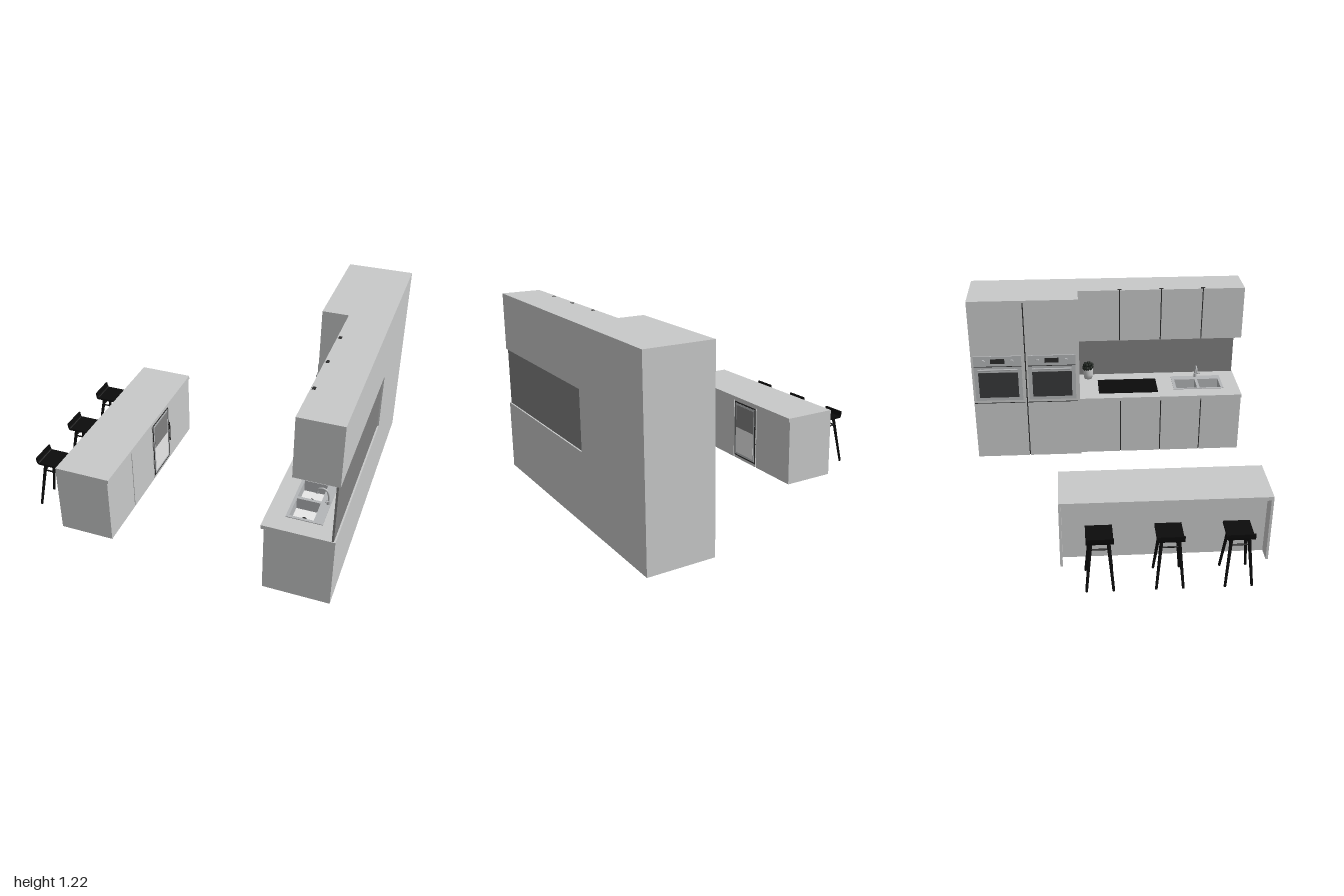
import * as THREE from 'three';

const mat = (name, color) => {
  const m = new THREE.MeshStandardMaterial({ color });
  m.name = name;
  return m;
};

export function createModel() {
  const cabinet = mat('cabinet grey', 0xc8c9c9);
  const splash = mat('backsplash grey', 0x808080);
  const black = mat('stool black', 0x0b0b0b);
  const gapDark = mat('gap dark', 0x2b2b2b);
  const steel = mat('steel', 0xb4b6b8);
  const glass = mat('oven glass', 0x38393a);
  const white = mat('white', 0xf0f0f0);
  const leaf = mat('leaf', 0x1a201b);

  const root = new THREE.Group();
  root.name = 'kitchen';
  const group = (name, parent = root) => {
    const g = new THREE.Group();
    g.name = name;
    parent.add(g);
    return g;
  };
  const add = (parent, name, geo, m) => {
    const mesh = new THREE.Mesh(geo, m);
    mesh.name = name;
    parent.add(mesh);
    return mesh;
  };
  // Box given by its limits on each axis
  const box = (parent, name, m, x0, x1, y0, y1, z0, z1) => {
    const b = add(parent, name, new THREE.BoxGeometry(x1 - x0, y1 - y0, z1 - z0), m);
    b.position.set((x0 + x1) / 2, (y0 + y1) / 2, (z0 + z1) / 2);
    return b;
  };
  // Round bar between two points
  const bar = (parent, name, m, a, b, r0, r1 = r0, sides = 10) => {
    const p = new THREE.Vector3(...a), q = new THREE.Vector3(...b);
    const d = q.clone().sub(p);
    const c = add(parent, name, new THREE.CylinderGeometry(r1, r0, d.length(), sides), m);
    c.position.copy(p).add(q).multiplyScalar(0.5);
    c.quaternion.setFromUnitVectors(new THREE.Vector3(0, 1, 0), d.normalize());
    return c;
  };
  // Row of doors between seams, with a dark strip behind each inner seam
  const doorRow = (parent, x0, x1, y0, y1, seams, inward) => {
    for (let i = 0; i < seams.length - 1; i++) {
      const last = i === seams.length - 2;
      box(parent, 'door', cabinet, x0, x1, y0, y1, seams[i] + (i ? 0.004 : 0), seams[i + 1] - (last ? 0 : 0.004));
      if (!last) {
        const s = seams[i + 1];
        const a = inward > 0 ? x0 + 0.008 : x0 - 0.012, b = inward > 0 ? x1 + 0.012 : x1 - 0.008;
        box(parent, 'doorGap', gapDark, a, b, y0 + 0.001, y1 + 0.001, s - 0.015, s + 0.015);
      }
    }
  };

  // Tall cabinets, open underneath
  const tall = group('tallCabinets');
  box(tall, 'tallBack', cabinet, 0.985, 1, 0, 1.205, -0.97, -0.21);
  box(tall, 'tallTop', cabinet, 0.575, 1, 1.205, 1.22, -0.97, -0.21);
  box(tall, 'tallEnd', cabinet, 0.59, 0.985, 0, 1.205, -0.97, -0.955);
  box(tall, 'tallSide', cabinet, 0.59, 0.985, 0, 1.205, -0.225, -0.21);
  doorRow(tall, 0.575, 0.59, 0, 1.205, [-0.97, -0.59, -0.21], 1);

  // Built-in ovens
  for (const zc of [-0.785, -0.405]) {
    const o = group('oven', tall);
    box(o, 'drawerSeam', gapDark, 0.573, 0.576, 0.444, 0.448, zc - 0.18, zc + 0.18);
    box(o, 'ovenFront', steel, 0.566, 0.576, 0.47, 0.815, zc - 0.168, zc + 0.168);
    box(o, 'ovenWindow', glass, 0.563, 0.567, 0.495, 0.69, zc - 0.14, zc + 0.14);
    box(o, 'panelSeam', gapDark, 0.564, 0.567, 0.735, 0.739, zc - 0.168, zc + 0.168);
    box(o, 'ovenDisplay', gapDark, 0.563, 0.567, 0.76, 0.795, zc - 0.05, zc + 0.05);
    bar(o, 'ovenHandle', steel, [0.555, 0.715, zc - 0.14], [0.555, 0.715, zc + 0.14], 0.006);
    for (const s of [-1, 1]) {
      bar(o, 'handlePost', steel, [0.555, 0.715, zc + s * 0.12], [0.57, 0.715, zc + s * 0.12], 0.004);
      bar(o, 'ovenKnob', steel, [0.552, 0.777, zc + s * 0.1], [0.567, 0.777, zc + s * 0.1], 0.014, 0.014, 16);
    }
  }

  // Base cabinets, open underneath
  const seams = [-0.21, 0.085, 0.38, 0.675, 0.97];
  const base = group('baseCabinets');
  doorRow(base, 0.595, 0.61, 0, 0.434, seams, 1);
  box(base, 'baseBack', cabinet, 0.985, 1, 0, 0.435, -0.21, 0.97);
  box(base, 'baseEnd', cabinet, 0.61, 0.985, 0, 0.435, 0.955, 0.97);

  // Worktop with two basin openings; shape x is x, shape y is -z
  const basins = [[0.505, 0.662], [0.678, 0.838]], bx0 = 0.7, bx1 = 0.845;
  const rect = (P, x0, x1, z0, z1) => {
    const p = new P();
    p.moveTo(x0, -z0);
    p.lineTo(x1, -z0);
    p.lineTo(x1, -z1);
    p.lineTo(x0, -z1);
    p.closePath();
    return p;
  };
  const slab = (parent, name, m, x0, x1, z0, z1, y, h) => {
    const s = rect(THREE.Shape, x0, x1, z0, z1);
    for (const [a, b] of basins) s.holes.push(rect(THREE.Path, bx0, bx1, a, b));
    const mesh = add(parent, name, new THREE.ExtrudeGeometry(s, { depth: h, bevelEnabled: false }), m);
    mesh.rotation.x = -Math.PI / 2;
    mesh.position.y = y;
  };
  slab(base, 'worktop', cabinet, 0.575, 1, -0.21, 0.97, 0.435, 0.025);

  // Double sink
  const sink = group('sink');
  slab(sink, 'sinkRim', steel, 0.685, 0.9, 0.485, 0.855, 0.46, 0.004);
  for (const [a, b] of basins) {
    box(sink, 'basinFloor', white, bx0, bx1, 0.385, 0.39, a, b);
    for (const x of [bx0, bx1]) box(sink, 'basinWall', steel, x - 0.002, x + 0.002, 0.385, 0.463, a, b);
    for (const z of [a, b]) box(sink, 'basinWall', steel, bx0, bx1, 0.385, 0.463, z - 0.002, z + 0.002);
    bar(sink, 'drain', gapDark, [0.77, 0.39, (a + b) / 2], [0.77, 0.392, (a + b) / 2], 0.014, 0.014, 16);
  }
  const spout = new THREE.CatmullRomCurve3([
    [0.885, 0.46], [0.884, 0.525], [0.87, 0.558], [0.845, 0.566], [0.822, 0.555], [0.814, 0.525],
  ].map(([x, y]) => new THREE.Vector3(x, y, 0.67)));
  add(sink, 'tap', new THREE.TubeGeometry(spout, 24, 0.006, 10), steel);
  bar(sink, 'tapBase', steel, [0.885, 0.46, 0.67], [0.885, 0.49, 0.67], 0.011);
  bar(sink, 'tapLever', steel, [0.885, 0.485, 0.67], [0.875, 0.5, 0.705], 0.004);

  // Hob
  box(root, 'hob', black, 0.65, 0.868, 0.459, 0.465, -0.07, 0.365);

  // Potted plant beside the tall cabinets
  const plant = group('plant');
  const pot = add(plant, 'pot', new THREE.LatheGeometry(
    [[0, 0], [0.03, 0], [0.036, 0.035], [0.036, 0.08], [0.031, 0.08], [0.031, 0.07], [0, 0.07]]
      .map(([x, y]) => new THREE.Vector2(x, y)), 24), cabinet);
  pot.position.set(0.922, 0.46, -0.14);
  for (let i = 0; i < 26; i++) {
    const t = i * 2.4, r = 0.036 * Math.sqrt(i / 26);
    const l = add(plant, 'leafTuft', new THREE.IcosahedronGeometry(0.012, 0), leaf);
    l.position.set(0.922 + r * Math.cos(t), 0.58 - r * r * 16 - (i % 3) * 0.01, -0.14 + r * Math.sin(t));
    l.scale.y = 1.5;
  }

  // Wall cabinets and backsplash
  const upper = group('wallCabinets');
  box(upper, 'wallCabinetBody', cabinet, 0.755, 1, 0.84, 1.22, -0.21, 0.97);
  doorRow(upper, 0.74, 0.755, 0.84, 1.22, seams, 1);
  box(root, 'backsplash', splash, 0.978, 0.99, 0.458, 0.842, -0.21, 0.965);

  // Island with a knee recess on the stool side, open underneath
  const island = group('island');
  box(island, 'islandTop', cabinet, -0.75, -0.395, 0.435, 0.46, -0.37, 0.91);
  for (const z of [-0.37, 0.895]) box(island, 'islandEnd', cabinet, -0.75, -0.402, 0, 0.435, z, z + 0.015);
  box(island, 'kneePanel', cabinet, -0.66, -0.645, 0, 0.435, -0.355, 0.895);
  doorRow(island, -0.417, -0.402, 0, 0.434, [-0.355, 0, 0.265, 0.575, 0.895], -1);

  // Glass-fronted cooler in the island
  const cooler = group('cooler', island);
  box(cooler, 'coolerFrame', gapDark, -0.405, -0.4, 0.02, 0.425, 0.008, 0.257);
  box(cooler, 'coolerTrim', steel, -0.403, -0.399, 0.03, 0.415, 0.018, 0.247);
  box(cooler, 'coolerGlassUpper', splash, -0.401, -0.398, 0.235, 0.4, 0.03, 0.235);
  box(cooler, 'coolerGlassLower', white, -0.401, -0.398, 0.045, 0.235, 0.03, 0.235);
  bar(cooler, 'coolerHandle', gapDark, [-0.393, 0.15, 0.004], [-0.393, 0.3, 0.004], 0.004);
  for (const y of [0.17, 0.28]) bar(cooler, 'handlePost', gapDark, [-0.404, y, 0.004], [-0.393, y, 0.004], 0.003);

  // Bar stools
  for (const zc of [-0.137, 0.273, 0.68]) {
    const s = group('stool');
    s.position.set(-0.89, 0, zc);
    // Seat curling up into a low back, extruded across its width
    const p = new THREE.Shape();
    p.moveTo(0.092, 0.323);
    p.lineTo(0.092, 0.336);
    p.lineTo(-0.075, 0.336);
    p.quadraticCurveTo(-0.084, 0.338, -0.086, 0.37);
    p.lineTo(-0.096, 0.37);
    p.quadraticCurveTo(-0.096, 0.326, -0.08, 0.323);
    p.closePath();
    const seat = add(s, 'seat', new THREE.ExtrudeGeometry(p, { depth: 0.16, bevelEnabled: false }), black);
    seat.position.z = -0.08;
    for (const i of [-1, 1]) {
      for (const j of [-1, 1]) bar(s, 'leg', black, [i * 0.1, 0, j * 0.08], [i * 0.046, 0.328, j * 0.05], 0.008, 0.011);
      bar(s, 'sideRung', black, [-0.055, 0.27, i * 0.055], [0.055, 0.27, i * 0.055], 0.005);
      bar(s, 'crossRung', black, [i * 0.055, 0.27, -0.055], [i * 0.055, 0.27, 0.055], 0.005);
    }
  }
  return root;
}
